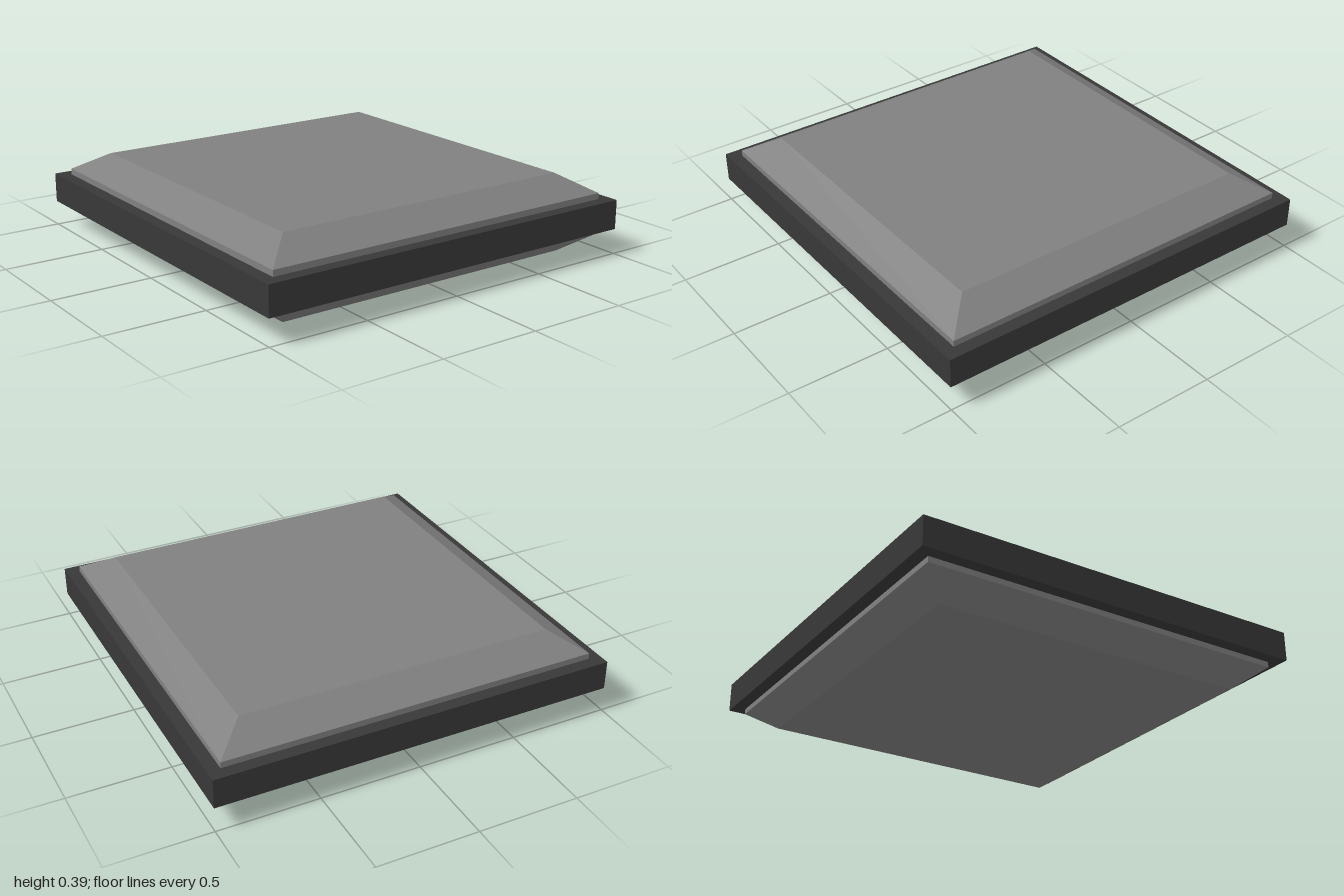
import * as THREE from 'three';

// Four-sided solid from [half width, height] pairs, listed bottom to top
function squareLathe(profile) {
  const points = profile.map(([half, y]) => new THREE.Vector2(half * Math.SQRT2, y));
  return new THREE.LatheGeometry(points, 4, Math.PI / 4);
}

export function createModel() {
  const model = new THREE.Group();
  model.name = 'framedTile';

  // Square slab with bevelled top and bottom edges
  const slab = new THREE.Mesh(
    squareLathe([[0, 0], [0.805, 0], [0.938, 0.097], [0.938, 0.302], [0.786, 0.394], [0, 0.394]]),
    new THREE.MeshStandardMaterial({ color: 0x808080, flatShading: true })
  );
  slab.name = 'slab';
  model.add(slab);

  // Dark band around the slab's middle
  const bottom = 0.125, top = 0.272;
  const band = new THREE.Mesh(
    new THREE.BoxGeometry(2, top - bottom, 2),
    new THREE.MeshStandardMaterial({ color: 0x383838, flatShading: true })
  );
  band.name = 'rimBand';
  band.position.y = (bottom + top) / 2;
  model.add(band);

  return model;
}
